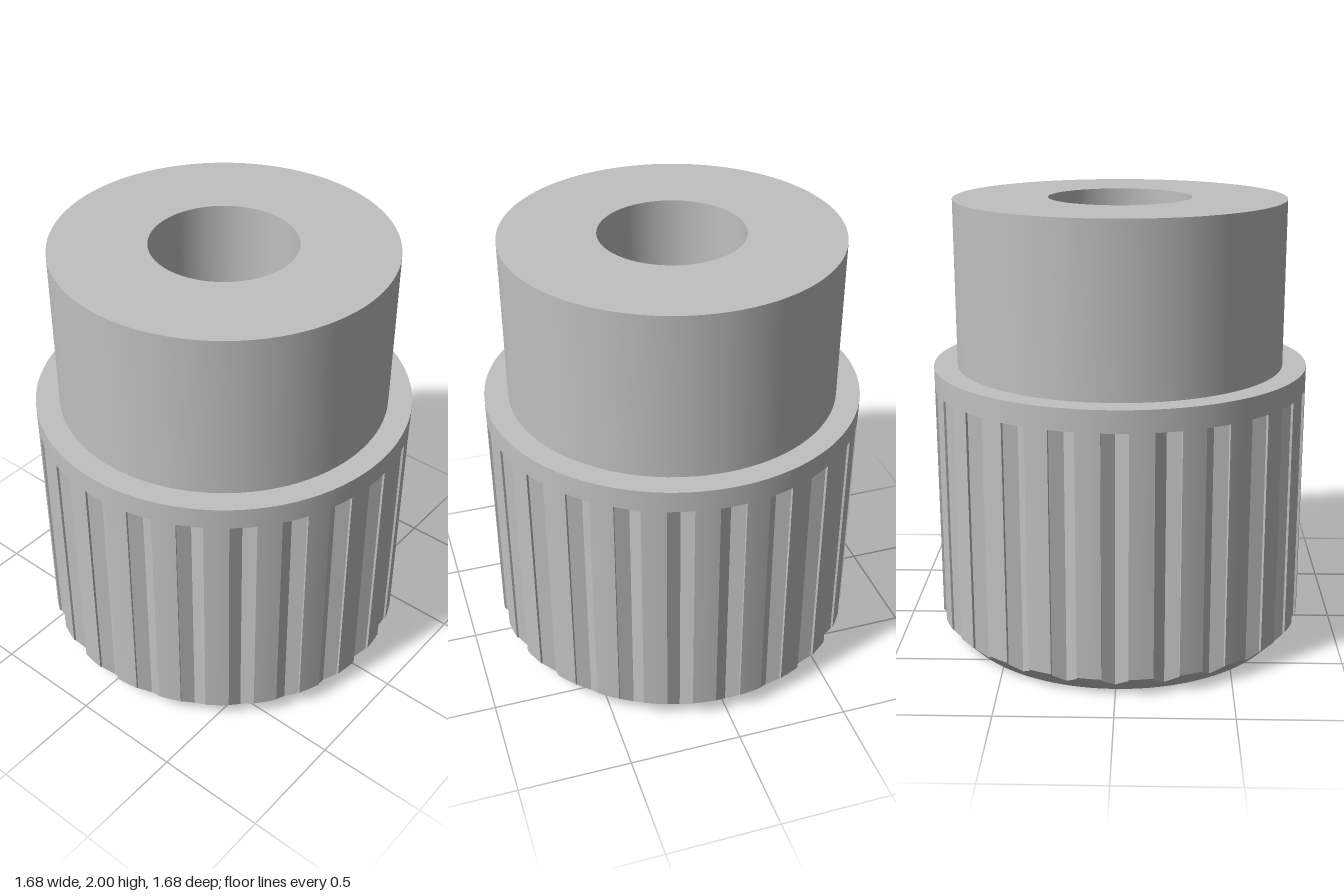
import * as THREE from 'three';
import { toCreasedNormals } from 'three/addons/utils/BufferGeometryUtils.js';

const GROOVES = 24;
const R = 0.84;            // grip radius
const BASE_R = 0.757;      // radius at the foot of the chamfer
const GROOVE_TOP = 1.165;
const COLLAR_TOP = 1.262;
const NECK_R = 0.735;
const BORE_R = 0.317;

// Polar outline of the fluted grip: each flute has steep walls and a V floor
function grooveOutline() {
  const out = [];
  const step = (Math.PI * 2) / GROOVES;
  const edge = Math.asin(0.057 / R);
  const flute = [[-0.056, 0.828], [0, 0.8], [0.056, 0.828]];
  for (let i = 0; i < GROOVES; i++) {
    const c = i * step;
    out.push({ a: c - edge, r: R });
    for (const [x, z] of flute) out.push({ a: c + Math.atan2(x, z), r: Math.hypot(x, z) });
    for (let k = 0; k < 3; k++) out.push({ a: c + edge + (k / 3) * (step - 2 * edge), r: R });
  }
  return out;
}

// Skin consecutive closed rings, listed from the bottom up
function loft(rings) {
  const pos = [];
  const n = rings[0].length;
  for (let j = 0; j < rings.length - 1; j++) {
    for (let i = 0; i < n; i++) {
      const k = (i + 1) % n;
      const [A, B, C, D] = [rings[j][i], rings[j][k], rings[j + 1][k], rings[j + 1][i]];
      for (const p of [A, B, C, A, C, D]) pos.push(...p);
    }
  }
  const g = new THREE.BufferGeometry();
  g.setAttribute('position', new THREE.Float32BufferAttribute(pos, 3));
  return toCreasedNormals(g, 0.5);
}

function lathe(points, segments) {
  const g = new THREE.LatheGeometry(points.map(([x, y]) => new THREE.Vector2(x, y)), segments);
  return toCreasedNormals(g, 0.5);
}

export function createModel() {
  const group = new THREE.Group();
  const grey = new THREE.MeshStandardMaterial({ color: 0xc0c0c0 });
  grey.name = 'plain grey';
  const add = (name, geometry) => {
    const mesh = new THREE.Mesh(geometry, grey);
    mesh.name = name;
    group.add(mesh);
    return mesh;
  };

  // Fluted grip: chamfer, flutes, flute ends and the plain band above
  const outline = grooveOutline();
  const ring = (radius, height) => outline.map((p) => {
    const r = radius ?? p.r;
    const y = height ?? (p.r - BASE_R) * 1.03;
    return [r * Math.sin(p.a), y, r * Math.cos(p.a)];
  });
  add('flutedGrip', loft([
    ring(BASE_R, 0), ring(), ring(undefined, GROOVE_TOP), ring(R, GROOVE_TOP),
    ring(R, COLLAR_TOP), ring(NECK_R - 0.02, COLLAR_TOP),
  ]));

  // Smooth neck with its blind central bore
  add('neckAndBore', lathe([
    [NECK_R, COLLAR_TOP], [NECK_R, 2], [BORE_R, 2], [BORE_R, 0.6], [0, 0.6],
  ], 96));

  // Underside with a small six-sided marker hole near the back
  const holeR = 0.066;
  const holeZ = -0.57;
  const disc = new THREE.Shape(ring(BASE_R, 0).map(([x, , z]) => new THREE.Vector2(x, z)));
  const hole = [];
  for (let i = 0; i < 6; i++) {
    const a = (i * Math.PI) / 3;
    hole.push(new THREE.Vector2(holeR * Math.sin(a), holeZ + holeR * Math.cos(a)));
  }
  disc.holes.push(new THREE.Path(hole));
  add('underside', new THREE.ShapeGeometry(disc).rotateX(Math.PI / 2));
  add('markerHole', lathe([[0, 0.2], [holeR, 0.2], [holeR, 0]], 6)).position.z = holeZ;

  return group;
}
